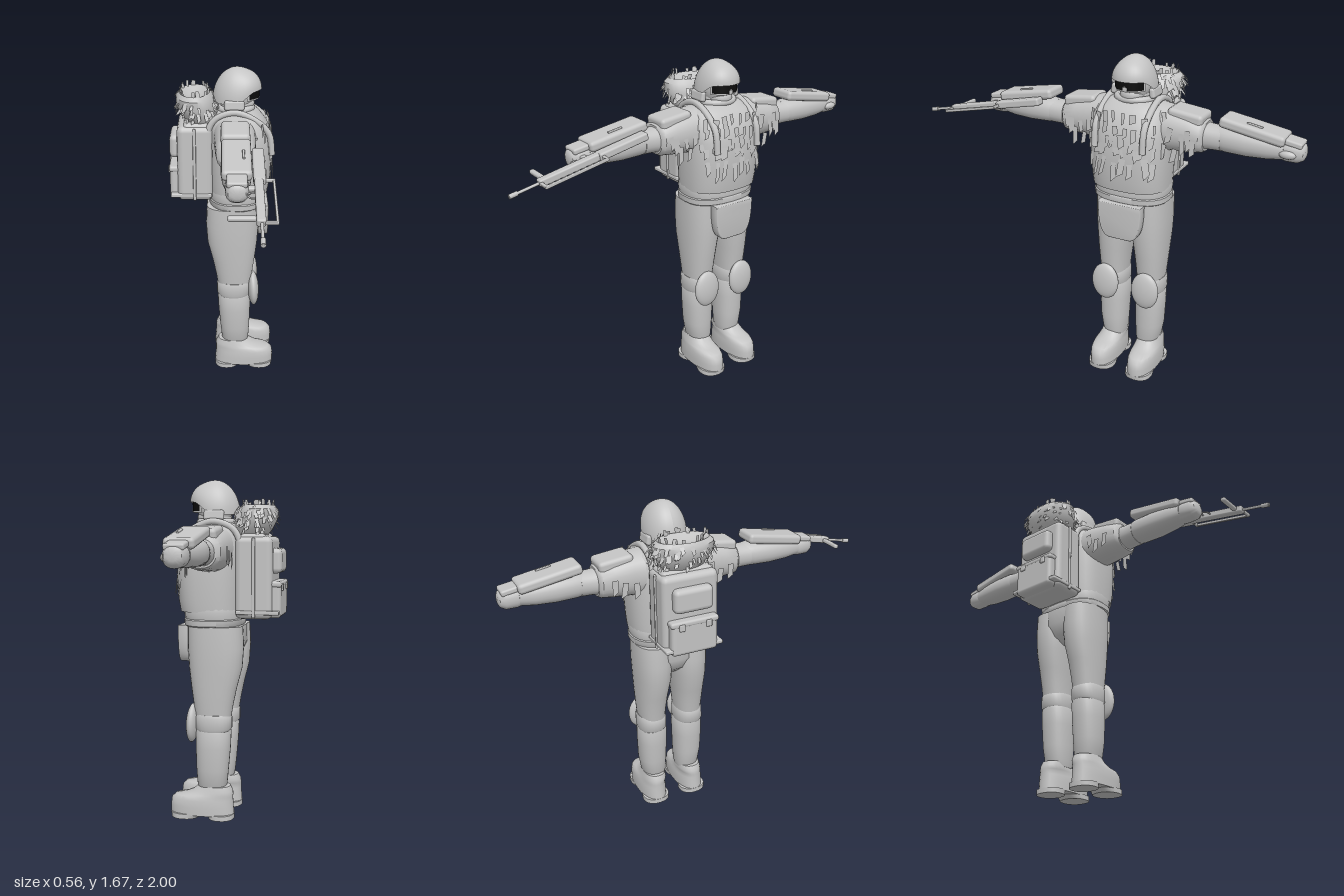
import * as THREE from 'three';
import { mergeGeometries, toCreasedNormals } from 'three/addons/utils/BufferGeometryUtils.js';
import { RoundedBoxGeometry } from 'three/addons/geometries/RoundedBoxGeometry.js';

const grey = new THREE.MeshStandardMaterial({ color: 0xc4c4c4, side: THREE.DoubleSide });
grey.name = 'light grey';
const black = new THREE.MeshStandardMaterial({ color: 0x0c0c0c, side: THREE.DoubleSide });
black.name = 'lens black';

let seed = 7;
const rnd = (a, b) => {
  seed = (seed * 16807) % 2147483647;
  return a + (b - a) * (seed / 2147483647);
};

// Loft of superellipses. Rows are [t, centreA, radiusA, centreB, radiusB]; t runs along y or z.
function loft(rows, axis = 'y', n = 2.3, seg = 28) {
  const pos = [], idx = [];
  const put = (t, a, b) => (axis === 'y' ? pos.push(a, t, b) : pos.push(a, b, t));
  const tri = (a, b, c) => (axis === 'y' ? idx.push(a, c, b) : idx.push(a, b, c));
  const pw = v => Math.sign(v) * Math.abs(v) ** (2 / n);
  rows.forEach(([t, ca, ra, cb, rb]) => {
    for (let j = 0; j < seg; j++) {
      const q = (j / seg) * Math.PI * 2;
      put(t, ca + ra * pw(Math.cos(q)), cb + rb * pw(Math.sin(q)));
    }
  });
  const last = rows.length - 1;
  put(rows[0][0], rows[0][1], rows[0][3]);
  put(rows[last][0], rows[last][1], rows[last][3]);
  const end = rows.length * seg;
  for (let j = 0; j < seg; j++) {
    const k = (j + 1) % seg;
    for (let i = 0; i < last; i++) {
      const a = i * seg + j, b = i * seg + k;
      tri(a, b, b + seg);
      tri(a, b + seg, a + seg);
    }
    tri(end, k, j);
    tri(end + 1, last * seg + j, last * seg + k);
  }
  const g = new THREE.BufferGeometry();
  g.setAttribute('position', new THREE.Float32BufferAttribute(pos, 3));
  g.setIndex(idx);
  return toCreasedNormals(g, 0.75);
}

function add(parent, name, geo, p = [0, 0, 0], r = [0, 0, 0], mat = grey) {
  const m = new THREE.Mesh(geo, mat);
  m.name = name;
  m.position.set(...p);
  m.rotation.set(...r);
  parent.add(m);
  return m;
}
const box = (w, h, d, r = 0.012) => new RoundedBoxGeometry(w, h, d, 2, r);
const ball = (x, y, z) => new THREE.SphereGeometry(1, 24, 16).scale(x, y, z);

// Cloth strip with a slanted tip, hanging from its origin and facing +x
function strip(w, l, p, yaw, tilt) {
  const s = new THREE.Shape([[-w / 2, 0], [w / 2, 0], [w / 2, -l * 0.75], [-w / 2, -l]].map(v => new THREE.Vector2(...v)));
  const o = new THREE.Object3D();
  o.position.set(...p);
  o.rotation.set(0, Math.PI / 2 - yaw, 0);
  o.rotateX(tilt);
  o.rotateZ(rnd(-0.2, 0.2));
  o.updateMatrix();
  return new THREE.ShapeGeometry(s).applyMatrix4(o.matrix);
}

function buildLeg(body, s) {
  const g = new THREE.Group();
  g.name = s > 0 ? 'rightLeg' : 'leftLeg';
  body.add(g);
  const L = rows => loft(rows.map(([y, x0, x1, w0, w1]) => [y, (x0 + x1) / 2, (x1 - x0) / 2, s * (w0 + w1) / 2, (w1 - w0) / 2]));
  add(g, 'thigh', L([[0.52, -0.035, 0.145, 0.035, 0.172], [0.58, -0.045, 0.152, 0.03, 0.177], [0.66, -0.062, 0.163, 0.022, 0.182],
    [0.76, -0.088, 0.175, 0.008, 0.187], [0.86, -0.095, 0.181, 0, 0.191], [0.965, -0.09, 0.18, 0, 0.19]]));
  add(g, 'kneeBand', L([[0.445, -0.028, 0.135, 0.035, 0.175], [0.46, -0.038, 0.145, 0.03, 0.18], [0.515, -0.038, 0.147, 0.03, 0.18], [0.53, -0.03, 0.14, 0.035, 0.175]]));
  add(g, 'kneePad', ball(0.03, 0.098, 0.075), [0.158, 0.48, s * 0.113], [0, 0, 0.05]);
  add(g, 'shin', L([[0.14, 0, 0.128, 0.04, 0.15], [0.17, -0.012, 0.136, 0.034, 0.162], [0.25, -0.02, 0.14, 0.03, 0.175],
    [0.36, -0.03, 0.143, 0.027, 0.178], [0.44, -0.034, 0.143, 0.027, 0.178], [0.46, -0.03, 0.14, 0.035, 0.17]]));
  add(g, 'bootUpper', L([[0.02, -0.05, 0.272, 0.037, 0.18], [0.06, -0.047, 0.273, 0.036, 0.181], [0.095, -0.045, 0.268, 0.038, 0.179],
    [0.113, -0.045, 0.25, 0.042, 0.175], [0.122, -0.045, 0.2, 0.042, 0.172], [0.14, -0.043, 0.158, 0.042, 0.167], [0.165, -0.03, 0.13, 0.048, 0.16]]));
  add(g, 'heel', L([[0, -0.05, 0.08, 0.037, 0.18], [0.025, -0.05, 0.08, 0.037, 0.18]]));
  add(g, 'sole', L([[0, 0.125, 0.268, 0.037, 0.18], [0.025, 0.1, 0.272, 0.037, 0.18]]));
}

function buildArm(body, s) {
  const g = new THREE.Group();
  g.name = s > 0 ? 'rightArm' : 'leftArm';
  body.add(g);
  const L = (rows, n) => loft(rows.map(([w, rx, y, ry]) => [s * w, 0.053, rx, y, ry]).sort((a, b) => a[0] - b[0]), 'z', n);
  add(g, 'sleeve', L([[0.1, 0.11, 1.34, 0.115], [0.2, 0.103, 1.338, 0.107], [0.29, 0.098, 1.333, 0.095], [0.355, 0.092, 1.328, 0.082], [0.37, 0.075, 1.325, 0.07]]));
  add(g, 'upperArm', L([[0.3, 0.07, 1.325, 0.068], [0.4, 0.064, 1.325, 0.058], [0.45, 0.066, 1.326, 0.058]]));
  add(g, 'forearm', L([[0.43, 0.06, 1.328, 0.056], [0.47, 0.069, 1.328, 0.061], [0.57, 0.071, 1.326, 0.062], [0.67, 0.064, 1.325, 0.056], [0.74, 0.052, 1.325, 0.046]]));
  add(g, 'hand', L([[0.72, 0.045, 1.323, 0.045], [0.75, 0.052, 1.322, 0.05], [0.8, 0.05, 1.322, 0.05], [0.825, 0.038, 1.322, 0.036], [0.832, 0.02, 1.322, 0.02]]));
  add(g, 'thumb', ball(0.022, 0.02, 0.04), [0.098, 1.315, s * 0.76]);
  add(g, 'shoulderPlate', box(0.14, 0.06, 0.175, 0.02), [0.053, 1.412, s * 0.275], [s * 0.12, 0, 0]);
  add(g, 'forearmPlate', box(0.135, 0.05, 0.31, 0.018), [0.053, 1.395, s * 0.592], [s * 0.17, 0, 0]);
  add(g, 'handPlate', box(0.09, 0.028, 0.09, 0.01), [0.053, 1.365, s * 0.775], [s * 0.17, 0, 0]);
  add(g, 'plateSlot', box(0.012, 0.012, 0.075, 0.004), [0.085, 1.42, s * 0.6], [s * 0.17, 0, 0]);
  // Ragged strips along the sleeve
  const rags = [];
  for (let i = 0; i < 7; i++) {
    const w = 0.17 + i * 0.027;
    rags.push(strip(rnd(0.022, 0.034), rnd(0.06, 0.11), [0.162 - i * 0.002, rnd(1.27, 1.37), s * w], 0, -0.05));
    if (i % 2) rags.push(strip(0.03, 0.08, [-0.056, rnd(1.3, 1.38), s * w], Math.PI, 0));
  }
  add(g, 'sleeveRags', mergeGeometries(rags));
}

function buildHead(body) {
  add(body, 'head', ball(0.088, 0.09, 0.075), [0.065, 1.53, 0]);
  add(body, 'jaw', ball(0.055, 0.045, 0.058), [0.098, 1.485, 0]);
  add(body, 'neck', new THREE.CylinderGeometry(0.07, 0.085, 0.12, 24), [0.055, 1.43, 0]);
  add(body, 'collar', new THREE.TorusGeometry(0.085, 0.017, 10, 28).scale(1, 1.05, 1), [0.055, 1.465, 0], [Math.PI / 2, 0, 0]);
  // Helmet dome whose rim rises over the face
  const dome = new THREE.SphereGeometry(1, 36, 14, 0, Math.PI * 2, 0, Math.PI / 2);
  const p = dome.attributes.position;
  for (let i = 0; i < p.count; i++) {
    const x = p.getX(i), y = p.getY(i), z = p.getZ(i), front = THREE.MathUtils.smoothstep(x, -0.1, 0.75);
    const rim = 1.5 + 0.06 * front;
    p.setXYZ(i, 0.065 + 0.124 * x, rim + (1.667 - rim) * y, 0.109 * z);
  }
  dome.computeVertexNormals();
  add(body, 'helmet', dome);
  for (const s of [1, -1]) add(body, 'earFlap', box(0.1, 0.05, 0.028), [0.05, 1.497, s * 0.1], [s * -0.15, 0, 0]);
  // Wrap-round goggles
  const band = (r, h, a, l) => new THREE.CylinderGeometry(r, r, h, 20, 1, true, a, l).scale(1, 1, 0.82);
  const mid = Math.PI / 2;
  add(body, 'goggleFrame', band(0.104, 0.058, mid - 1.15, 2.3), [0.07, 1.54, 0]);
  add(body, 'goggleBridge', box(0.012, 0.022, 0.024, 0.004), [0.172, 1.523, 0]);
  for (const s of [1, -1]) add(body, 'lens', band(0.107, 0.046, s > 0 ? mid - 1.02 : mid + 0.06, 0.96), [0.07, 1.541, 0], [0, 0, 0], black);
  add(body, 'lensTop', band(0.107, 0.026, mid - 0.1, 0.2), [0.07, 1.551, 0], [0, 0, 0], black);
}

function buildTorso(body) {
  add(body, 'belly', loft([[0.955, 0.06, 0.13, 0, 0.18], [0.968, 0.065, 0.145, 0, 0.194], [0.995, 0.065, 0.147, 0, 0.195], [1.0, 0.065, 0.143, 0, 0.19],
    [1.035, 0.065, 0.147, 0, 0.195], [1.06, 0.065, 0.14, 0, 0.19]], 'y', 2.5));
  add(body, 'vest', loft([[1.035, 0.075, 0.153, 0, 0.192], [1.09, 0.078, 0.16, 0, 0.196], [1.2, 0.08, 0.165, 0, 0.2], [1.3, 0.078, 0.165, 0, 0.2],
    [1.38, 0.07, 0.152, 0, 0.195], [1.43, 0.06, 0.125, 0, 0.17], [1.46, 0.055, 0.09, 0, 0.12]], 'y', 2.6, 36));
  add(body, 'pelvis', loft([[0.78, 0.045, 0.06, 0, 0.04], [0.82, 0.045, 0.11, 0, 0.1], [0.88, 0.044, 0.135, 0, 0.17], [0.965, 0.045, 0.135, 0, 0.188]]));
  const f = new THREE.Shape();
  f.moveTo(-0.11, 0.095);
  f.lineTo(0.11, 0.095);
  f.bezierCurveTo(0.11, 0, 0.1, -0.08, 0.05, -0.08);
  f.lineTo(-0.05, -0.08);
  f.bezierCurveTo(-0.1, -0.08, -0.11, 0, -0.11, 0.095);
  const flap = new THREE.ExtrudeGeometry(f, { depth: 0.035, bevelSize: 0.006, bevelThickness: 0.008, bevelSegments: 3 });
  add(body, 'groinFlap', toCreasedNormals(flap, 0.8), [0.188, 0.865, 0], [0, Math.PI / 2, 0]);
  // Harness straps over both shoulders
  for (const s of [1, -1]) {
    const path = new THREE.CatmullRomCurve3([[-0.085, 1.2], [-0.088, 1.34], [-0.05, 1.43], [0.05, 1.467], [0.15, 1.43], [0.222, 1.36], [0.24, 1.25]]
      .map(([x, y]) => new THREE.Vector3(x, y, s * 0.125)));
    add(body, 'harnessStrap', new THREE.TubeGeometry(path, 30, 0.016, 8));
  }
  // Camouflage rags on the chest, longer towards the hem
  const rags = [];
  for (let row = 0; row < 5; row++) for (let k = 0; k < 8; k++) {
    const w = -0.17 + k * 0.048 + rnd(-0.016, 0.016);
    const y = 1.42 - row * 0.055 + rnd(-0.02, 0.02);
    const x = 0.07 + 0.176 * (1 - Math.abs(w / 0.205) ** 2.6) ** (1 / 2.6) - Math.max(0, y - 1.35) * 0.25;
    rags.push(strip(rnd(0.014, 0.034), row > 3 ? rnd(0.07, 0.12) : rnd(0.04, 0.07), [x, y, w], w * 3, -0.12));
  }
  add(body, 'chestRags', mergeGeometries(rags));
}

function buildPack(body) {
  const g = new THREE.Group();
  g.name = 'backpack';
  body.add(g);
  add(g, 'packBody', box(0.18, 0.395, 0.29, 0.03), [-0.148, 1.2, 0]);
  add(g, 'packLid', box(0.13, 0.05, 0.26, 0.02), [-0.14, 1.385, 0]);
  add(g, 'upperPocket', box(0.07, 0.12, 0.2, 0.025), [-0.243, 1.28, 0]);
  add(g, 'lowerPocket', box(0.08, 0.175, 0.24, 0.02), [-0.238, 1.095, 0]);
  add(g, 'lowerPocketFlap', box(0.085, 0.03, 0.25, 0.012), [-0.238, 1.17, 0]);
  add(g, 'baseStrap', box(0.21, 0.02, 0.3, 0.006), [-0.168, 1.035, 0]);
  for (const s of [1, -1]) {
    add(g, 'sideStrap', box(0.016, 0.38, 0.012, 0.005), [-0.15, 1.2, s * 0.146]);
    add(g, 'buckle', box(0.012, 0.035, 0.03, 0.005), [-0.28, 1.155, s * 0.07]);
  }
  // Bundled net with a hollow top and tufts
  add(g, 'netBundle', loft([[1.39, -0.115, 0.07, 0, 0.1], [1.43, -0.13, 0.088, 0, 0.135], [1.48, -0.145, 0.098, 0, 0.152], [1.525, -0.15, 0.094, 0, 0.152],
    [1.545, -0.15, 0.078, 0, 0.13], [1.535, -0.15, 0.055, 0, 0.1], [1.52, -0.15, 0.03, 0, 0.06]], 'y', 2));
  const tufts = [];
  for (let i = 0; i < 110; i++) {
    const a = rnd(0, Math.PI * 2), h = rnd(0, 1), k = 0.82 + 0.22 * Math.sin(h * 2.6);
    tufts.push(strip(rnd(0.01, 0.02), rnd(0.03, 0.05), [-0.125 - 0.025 * h + 0.096 * k * Math.cos(a), 1.44 + 0.105 * h, 0.152 * k * Math.sin(a)], a, rnd(-0.7, -0.2)));
  }
  for (let i = 0; i < 26; i++) {
    const a = rnd(0, Math.PI * 2);
    tufts.push(strip(0.016, 0.035, [-0.15 + 0.075 * Math.cos(a), rnd(1.56, 1.575), 0.125 * Math.sin(a)], a, rnd(-0.3, 0.3)));
  }
  add(g, 'netTufts', mergeGeometries(tufts));
}

// Rifle lying on its side, muzzle along +z
function buildRifle(root) {
  const g = new THREE.Group();
  g.name = 'rifle';
  g.position.set(0.15, 1.395, 0.3);
  g.rotation.x = 0.207;
  root.add(g);
  const rod = (r, l) => new THREE.CylinderGeometry(r, r, l, 12).rotateX(Math.PI / 2);
  add(g, 'stock', box(0.055, 0.038, 0.26, 0.01), [0.002, 0, 0.14]);
  add(g, 'receiver', box(0.04, 0.034, 0.32, 0.008), [-0.002, 0, 0.41]);
  add(g, 'handleRail', box(0.012, 0.016, 0.32, 0.004), [0.064, 0, 0.41]);
  for (const z of [0.256, 0.564]) add(g, 'handlePost', box(0.055, 0.016, 0.014, 0.004), [0.04, 0, z]);
  add(g, 'foreGrip', box(0.12, 0.022, 0.026, 0.009), [-0.08, 0, 0.535]);
  add(g, 'trigger', new THREE.TorusGeometry(0.022, 0.004, 6, 16), [-0.03, 0, 0.37], [Math.PI / 2, 0, 0]);
  add(g, 'pistolGrip', box(0.06, 0.024, 0.03, 0.008), [-0.045, 0, 0.32]);
  add(g, 'barrel', rod(0.007, 0.17), [0, 0, 0.63]);
  add(g, 'muzzle', rod(0.011, 0.04), [0, 0, 0.693]);
}

export function createModel() {
  const root = new THREE.Group();
  root.name = 'soldier';
  const body = new THREE.Group();
  body.name = 'body';
  body.position.z = -0.167;
  root.add(body);
  buildTorso(body);
  buildHead(body);
  for (const s of [1, -1]) {
    buildLeg(body, s);
    buildArm(body, s);
  }
  buildPack(body);
  buildRifle(root);
  return root;
}
